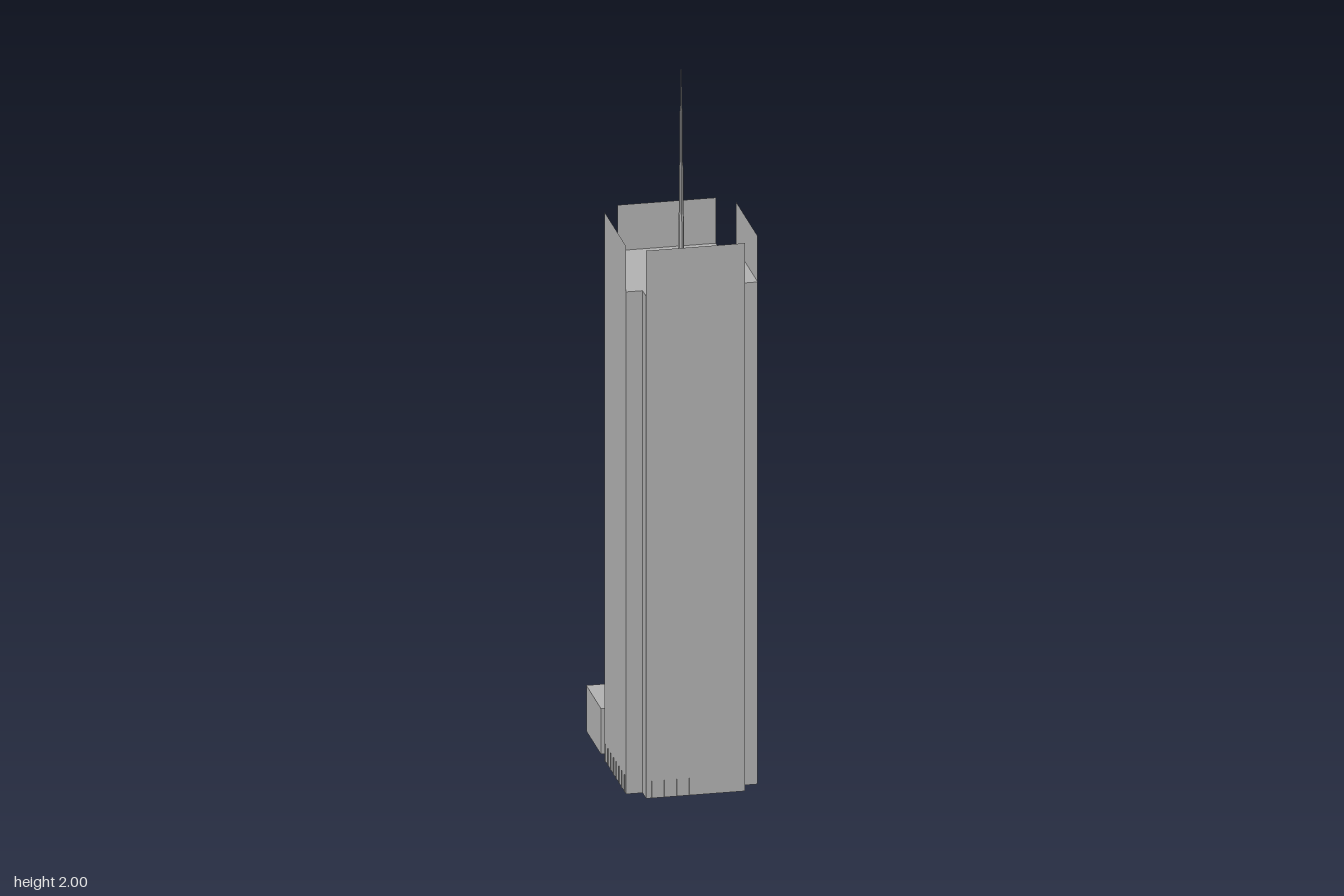
import * as THREE from 'three';

const grey = new THREE.MeshStandardMaterial({ color: 0xb2b2b2, side: THREE.DoubleSide });
grey.name = 'concrete grey';

const CZ = 0.091;            // tower centre line in z
const OUT = 0.18, IN = 0.135; // outer faces and notch corners
const ROOF = 1.43, PARAPET = 1.56, LOBBY = 0.05;

function add(parent, name, geometry) {
  const mesh = new THREE.Mesh(geometry, grey);
  mesh.name = name;
  parent.add(mesh);
  return mesh;
}

// Upright sheet from a to b (x, z), facing outwards for a counter-clockwise outline
function wall(parent, name, [ax, az], [bx, bz], y0, y1) {
  const dx = bx - ax, dz = bz - az;
  const mesh = add(parent, name, new THREE.PlaneGeometry(Math.hypot(dx, dz), y1 - y0));
  mesh.position.set((ax + bx) / 2, (y0 + y1) / 2, (az + bz) / 2);
  mesh.rotation.y = Math.atan2(-dz, dx);
  return mesh;
}

// Flat roof over an outline
function roof(parent, name, points, y) {
  const shape = new THREE.Shape(points.map(([x, z]) => new THREE.Vector2(x, -z)));
  const mesh = add(parent, name, new THREE.ShapeGeometry(shape).rotateX(-Math.PI / 2));
  mesh.position.y = y;
}

export function createModel() {
  const model = new THREE.Group();
  model.name = 'skyscraper';

  // Tower shaft with notched corners
  const tower = new THREE.Group();
  tower.name = 'tower';
  tower.position.z = CZ;
  model.add(tower);
  const outline = [
    [-IN, OUT], [IN, OUT], [IN, IN], [OUT, IN], [OUT, -IN], [IN, -IN],
    [IN, -OUT], [-IN, -OUT], [-IN, -IN], [-OUT, -IN], [-OUT, IN], [-IN, IN],
  ];
  outline.forEach((p, i) => {
    const broad = i % 3 === 0; // the four main faces rise past the roof
    wall(tower, broad ? 'facade' : 'notchWall', p, outline[(i + 1) % 12], 0, broad ? PARAPET : ROOF);
  });
  roof(tower, 'towerRoof', outline, ROOF);

  // Thin fins along the foot of each face
  for (let side = 0; side < 4; side++) {
    const fins = new THREE.Group();
    fins.name = 'lobbyFins';
    fins.rotation.y = side * Math.PI / 2;
    tower.add(fins);
    for (let i = 0; i < 8; i++) {
      const x = -0.12 + i * 0.24 / 7;
      wall(fins, 'lobbyFin', [x, OUT], [x, OUT + 0.003], 0, LOBBY);
    }
  }

  // Stepped antenna
  const profile = [[0.008, ROOF], [0.008, 1.57], [0.006, 1.6], [0.006, 1.72], [0.004, 1.74],
    [0.004, 1.88], [0.002, 1.9], [0.0015, 2], [0, 2]].map(([r, y]) => new THREE.Vector2(r, y));
  add(tower, 'antenna', new THREE.LatheGeometry(profile, 8).toNonIndexed()).geometry.computeVertexNormals();

  // Low annex behind the tower, open underneath
  const annex = new THREE.Group();
  annex.name = 'annex';
  model.add(annex);
  const block = [[-OUT, -0.088], [OUT, -0.088], [OUT, -0.272], [-OUT, -0.272]];
  block.forEach((p, i) => wall(annex, 'annexWall', p, block[(i + 1) % 4], 0, 0.13));
  roof(annex, 'annexRoof', block, 0.13);

  return model;
}
